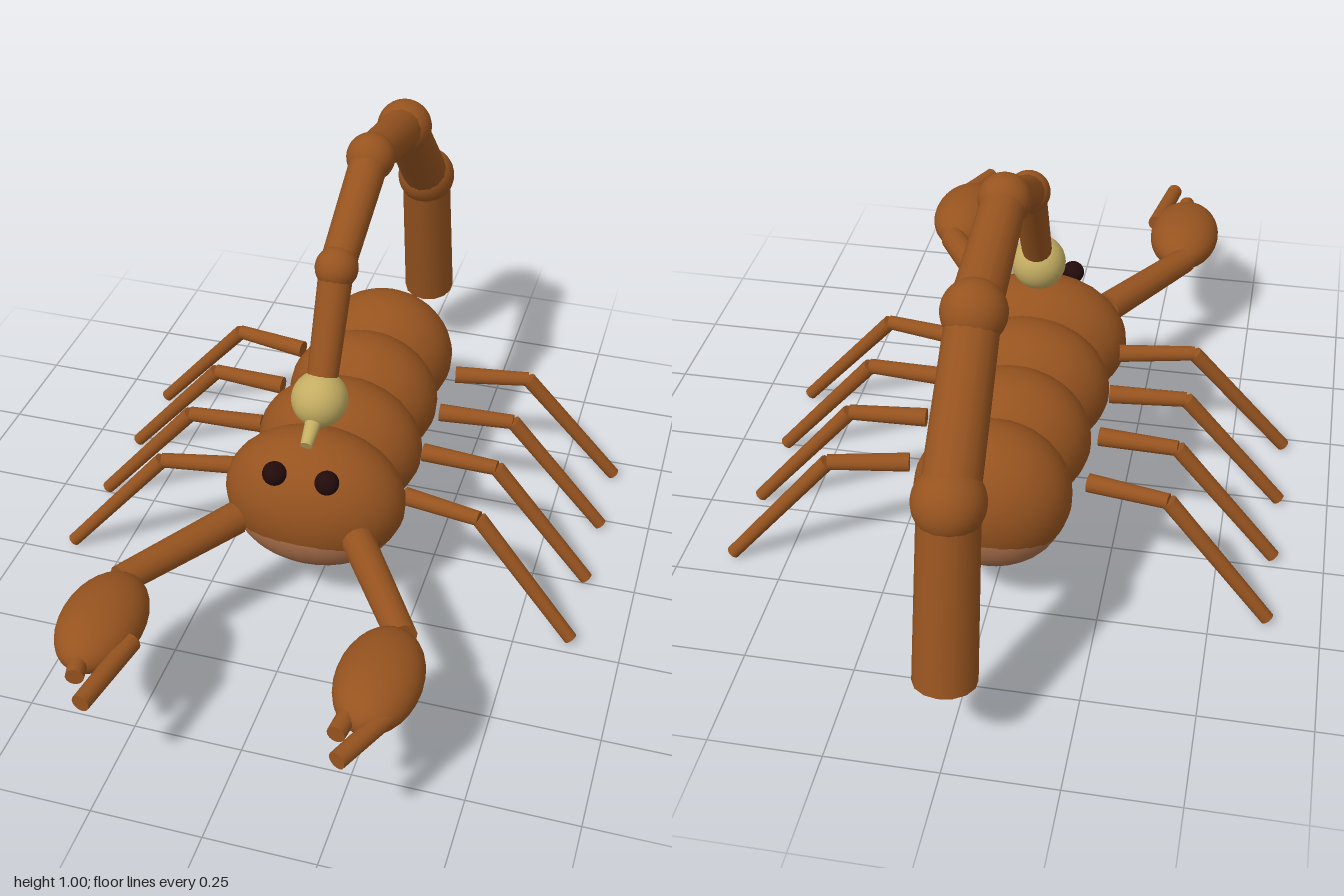
import * as THREE from 'three';

export function createModel() {
  const model = new THREE.Group();
  model.name = 'scorpion';

  const material = (name, color) => {
    const m = new THREE.MeshStandardMaterial({ color });
    m.name = name;
    return m;
  };
  const shell = material('shell brown', 0x96531f);
  const belly = material('belly tan', 0xa56c48);
  const sting = material('sting yellow', 0xc4ad62);
  const dark = material('eye black', 0x220b0b);

  const add = (name, geometry, mat, parent = model) => {
    const mesh = new THREE.Mesh(geometry, mat);
    mesh.name = name;
    parent.add(mesh);
    return mesh;
  };

  // Ellipsoid at a point with three radii
  const ball = (name, pos, radii, mat, parent) => {
    const mesh = add(name, new THREE.SphereGeometry(1, 28, 20), mat, parent);
    mesh.position.set(...pos);
    mesh.scale.set(...radii);
    return mesh;
  };

  // Tapered rod from a to b
  const up = new THREE.Vector3(0, 1, 0);
  const rod = (name, a, b, ra, rb, mat, parent) => {
    const p = new THREE.Vector3(...a);
    const q = new THREE.Vector3(...b);
    const dir = q.clone().sub(p);
    const mesh = add(name, new THREE.CylinderGeometry(rb, ra, dir.length(), 14), mat, parent);
    mesh.position.copy(p).add(q).multiplyScalar(0.5);
    mesh.quaternion.setFromUnitVectors(up, dir.normalize());
    return mesh;
  };

  // Four overlapping body segments, each with a belly plate bulging below
  [0.217, 0.203, 0.19, 0.179].forEach((rx, i) => {
    const z = 0.19 - i * 0.208;
    ball('bodySegment', [0, 0.29, z], [rx, 0.17, 0.144], shell);
    ball('bellyPlate', [0, 0.24, z], [rx * 0.9, 0.122, 0.138], belly);
  });

  // Tail arching over the back: [y, z, joint radius]
  const tail = new THREE.Group();
  tail.name = 'tail';
  model.add(tail);
  const joints = [
    [0.2, -0.932, 0], [0.597, -0.85, 0.076], [0.868, -0.59, 0.069],
    [0.943, -0.27, 0.058], [0.805, 0.013, 0.05], [0.535, 0.15, 0],
  ];
  const widths = [[0.068, 0.064], [0.061, 0.056], [0.054, 0.048], [0.046, 0.041], [0.04, 0.035]];
  widths.forEach(([ra, rb], i) => {
    const [y0, z0] = joints[i];
    const [y1, z1, r] = joints[i + 1];
    rod('tailSegment', [0, y0, z0], [0, y1, z1], ra, rb, shell, tail);
    if (r) ball('tailJoint', [0, y1, z1], [r, r, r], shell, tail);
  });
  ball('venomBulb', [0, 0.535, 0.15], [0.066, 0.066, 0.066], sting, tail);
  rod('stinger', [0, 0.515, 0.18], [0, 0.477, 0.256], 0.021, 0.014, sting, tail);

  // Finger ends as [x, z]; both claws open toward the same side
  const fingers = {
    '1': { big: [[0.362, 0.81], [0.285, 0.98]], small: [[0.28, 0.8], [0.264, 0.915]] },
    '-1': { big: [[-0.222, 0.785], [-0.254, 0.98]], small: [[-0.32, 0.8], [-0.295, 0.915]] },
  };

  // Leg rows: z at the hip, knee and foot
  const legs = [
    [0.145, 0.178, 0.212], [-0.03, -0.019, -0.008],
    [-0.2, -0.212, -0.222], [-0.372, -0.405, -0.437],
  ];

  for (const side of [1, -1]) {
    ball('eye', [side * 0.062, 0.419, 0.302], [0.028, 0.028, 0.028], dark);

    // Arm, claw and fingers
    const arm = new THREE.Group();
    arm.name = side > 0 ? 'leftArm' : 'rightArm';
    model.add(arm);
    rod('upperArm', [side * 0.147, 0.297, 0.338], [side * 0.32, 0.297, 0.61], 0.039, 0.034, shell, arm);
    ball('claw', [side * 0.306, 0.297, 0.742], [0.092, 0.067, 0.146], shell, arm);
    const { big, small } = fingers[side];
    for (const [name, [a, b]] of [['bigFinger', big], ['smallFinger', small]]) {
      rod(name, [a[0], 0.3, a[1]], [b[0], 0.3, b[1]], 0.022, 0.02, shell, arm);
    }

    // Two-part legs
    for (const [hip, knee, foot] of legs) {
      const leg = new THREE.Group();
      leg.name = 'leg';
      model.add(leg);
      const kneePoint = [side * 0.39, 0.293, knee];
      rod('thigh', [side * 0.206, 0.293, hip], kneePoint, 0.022, 0.018, shell, leg);
      rod('shin', kneePoint, [side * 0.63, 0.013, foot], 0.019, 0.016, shell, leg);
    }
  }

  return model;
}
